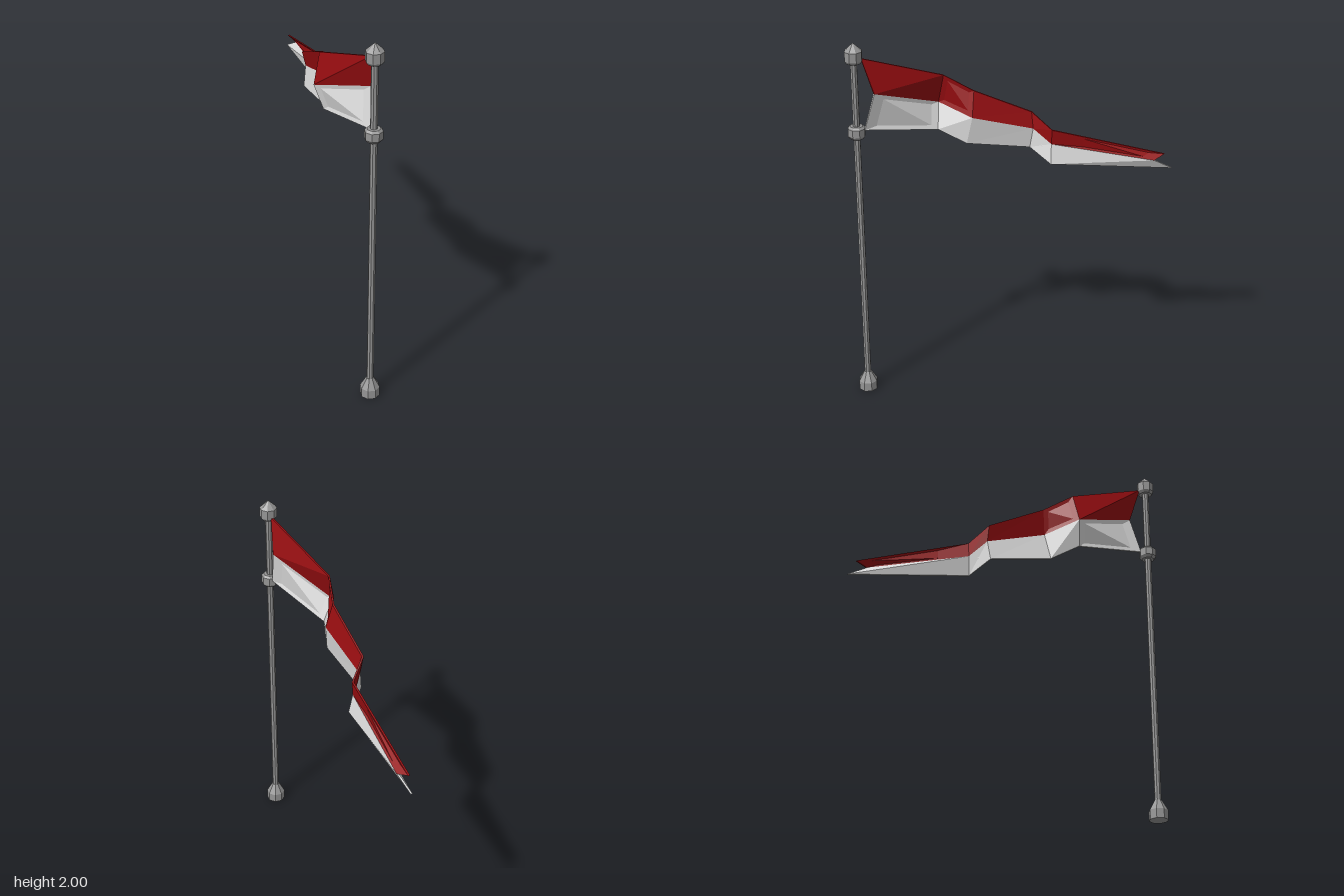
import * as THREE from 'three';

const gray = new THREE.MeshStandardMaterial({ color: 0x959595 });
gray.name = 'pole gray';
gray.flatShading = true;
const red = new THREE.MeshStandardMaterial({ color: 0x960d10, side: THREE.DoubleSide });
red.name = 'pennant red';
red.flatShading = true;
const white = new THREE.MeshStandardMaterial({ color: 0xdedede, side: THREE.DoubleSide });
white.name = 'pennant white';
white.flatShading = true;

// Flag folds from the pole to the tip, as [x, y, z] along each edge
const TOP = [[0.35, 1.915, 0.665], [0.035, 1.755, 0.36], [0.005, 1.68, 0.205],
  [-0.155, 1.54, -0.05], [-0.11, 1.475, -0.18], [-0.4, 1.305, -0.7]];
const MIDDLE = [[0.34, 1.73, 0.605], [0.015, 1.595, 0.4], [0.04, 1.545, 0.2],
  [-0.14, 1.455, -0.065], [-0.115, 1.395, -0.175], [-0.345, 1.285, -0.662]];
const BOTTOM = [[0.35, 1.53, 0.66], [0.06, 1.46, 0.385], [0.035, 1.395, 0.235],
  [-0.145, 1.345, -0.045], [-0.095, 1.29, -0.18], [-0.415, 1.225, -0.74]];

// Thin slab of cloth between two edges
function clothStrip(name, upper, lower, material) {
  const half = 0.005;
  const pos = [], index = [];
  // Four corners per fold, offset across the cloth
  const sides = (row, i) => {
    const a = row[Math.max(i - 1, 0)], b = row[Math.min(i + 1, row.length - 1)];
    const dx = b[0] - a[0], dz = b[2] - a[2], len = Math.hypot(dx, dz);
    const [x, y, z] = row[i];
    const ox = (-dz / len) * half, oz = (dx / len) * half;
    return [[x + ox, y, z + oz], [x - ox, y, z - oz]];
  };
  for (let i = 0; i < upper.length; i++) {
    const [uA, uB] = sides(upper, i), [lA, lB] = sides(lower, i);
    pos.push(...uA, ...uB, ...lB, ...lA);
  }
  for (let i = 0; i < upper.length - 1; i++) {
    for (let k = 0; k < 4; k++) {
      const a = i * 4 + k, b = i * 4 + ((k + 1) % 4);
      index.push(a, b, b + 4, a, b + 4, a + 4);
    }
  }
  // End caps
  const e = (upper.length - 1) * 4;
  index.push(0, 2, 1, 0, 3, 2, e, e + 1, e + 2, e, e + 2, e + 3);
  const indexed = new THREE.BufferGeometry();
  indexed.setAttribute('position', new THREE.Float32BufferAttribute(pos, 3));
  indexed.setIndex(index);
  const geometry = indexed.toNonIndexed();
  geometry.computeVertexNormals();
  const mesh = new THREE.Mesh(geometry, material);
  mesh.name = name;
  return mesh;
}

// Eight-sided turned part from [radius, height] points
function turned(name, profile) {
  const points = profile.map(([r, y]) => new THREE.Vector2(r, y));
  const mesh = new THREE.Mesh(new THREE.LatheGeometry(points, 8), gray);
  mesh.name = name;
  return mesh;
}

export function createModel() {
  const model = new THREE.Group();
  model.name = 'pennantOnPole';

  const pole = new THREE.Group();
  pole.name = 'poleAssembly';
  pole.position.set(0.37, 0, 0.695);
  const shaft = new THREE.Mesh(new THREE.CylinderGeometry(0.018, 0.018, 1.85, 8), gray);
  shaft.name = 'shaft';
  shaft.position.y = 0.975;
  pole.add(
    shaft,
    turned('base', [[0, 0], [0.051, 0], [0.051, 0.05], [0.02, 0.105], [0, 0.105]]),
    turned('lowerCollar', [[0.018, 1.488], [0.034, 1.488], [0.046, 1.503], [0.046, 1.545], [0.034, 1.556], [0.018, 1.556]]),
    turned('finial', [[0, 1.893], [0.036, 1.893], [0.046, 1.907], [0.046, 1.957], [0.036, 1.966], [0, 2]]),
  );
  model.add(pole);

  const flag = new THREE.Group();
  flag.name = 'flag';
  flag.add(
    clothStrip('redUpperHalf', TOP, MIDDLE, red),
    clothStrip('whiteLowerHalf', MIDDLE, BOTTOM, white),
  );
  model.add(flag);
  return model;
}
